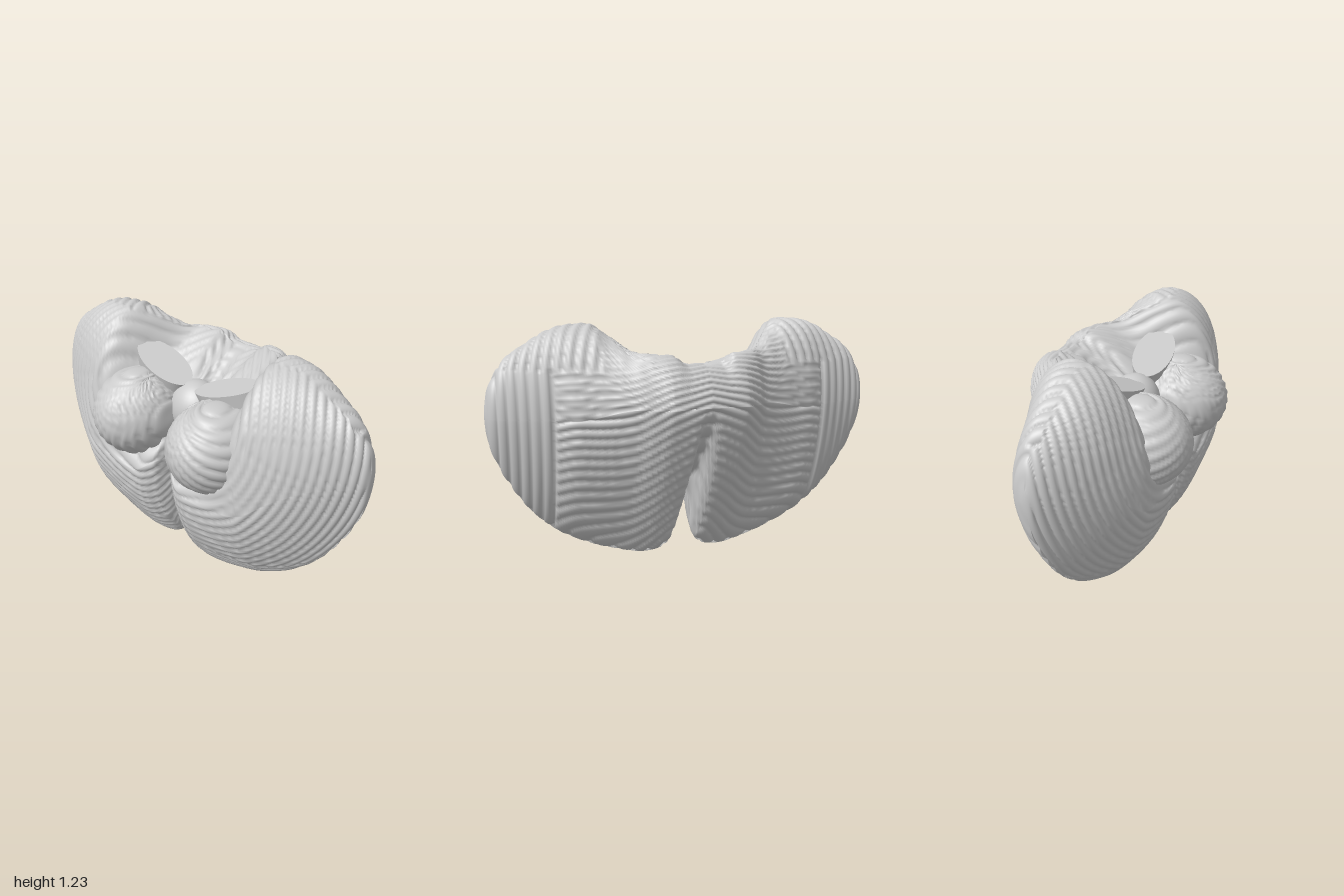
import * as THREE from 'three';

// Smooth curve through [x, value] pairs; keys are spread by asin(x) so the tips round off
function curve(...pairs) {
  const s = pairs.map(p => Math.asin(p[0])), v = pairs.map(p => p[1]), n = s.length;
  const sec = i => (v[i + 1] - v[i]) / (s[i + 1] - s[i]);
  const m = v.map((_, i) => {
    if (i === 0) return 0;
    if (i === n - 1) return sec(n - 2);
    const a = sec(i - 1), b = sec(i);
    return a * b <= 0 ? 0 : 2 * a * b / (a + b);
  });
  return x => {
    const q = Math.asin(Math.min(1, x));
    let i = 0;
    while (i < n - 2 && q > s[i + 1]) i++;
    const h = s[i + 1] - s[i], t = (q - s[i]) / h, t2 = t * t, t3 = t2 * t;
    return v[i] * (2 * t3 - 3 * t2 + 1) + m[i] * h * (t3 - 2 * t2 + t)
      + v[i + 1] * (3 * t2 - 2 * t3) + m[i + 1] * h * (t3 - t2);
  };
}

// Bottom, front, top and back extremes of the side section at each x
const yBottom = curve([0, .36], [.02, .34], [.045, .14], [.07, .05], [.12, .01], [.2, 0], [.4, .045], [.6, .13], [.7, .2],
  [.8, .3], [.9, .45], [.95, .55], [.99, .68], [1, .8]);
const zBottom = curve([0, .06], [.5, .06], [.85, .03], [1, 0]);
const yFront = curve([0, .6], [.2, .5], [.5, .55], [.7, .7], [.85, .78], [1, .8]);
const zFront = curve([0, .15], [.02, .17], [.06, .3], [.15, .34], [.5, .34], [.6, .31], [.7, .27], [.85, .18], [.95, .09], [1, 0]);
const yTop = curve([0, 1.06], [.08, 1.06], [.15, 1.1], [.3, 1.11], [.4, 1.175], [.5, 1.235], [.6, 1.23], [.7, 1.2],
  [.8, 1.14], [.88, 1.09], [.95, 1], [.99, .9], [1, .8]);
const zTop = curve([0, -.3], [.25, -.25], [.35, -.12], [.45, -.02], [.7, -.01], [1, 0]);
const yBack = curve([0, .87], [.3, .86], [.6, .8], [1, .8]);
const zBack = curve([0, -.45], [.17, -.445], [.25, -.4], [.32, -.34], [.5, -.26], [.6, -.23], [.7, -.18], [.85, -.13], [.95, -.09], [1, 0]);

const COUNTS = [52, 50, 42, 76];
const mix = THREE.MathUtils.lerp, step = THREE.MathUtils.smoothstep;

// One closed section: four power arcs bottom > front > top > back > bottom
function section(x) {
  const c = [[zBottom(x), yBottom(x)], [zFront(x), yFront(x)], [zTop(x), yTop(x)], [zBack(x), yBack(x)]];
  const power = [1.2, mix(1.5, .92, step(x, .25, .5)), 1, mix(1.7, 1.2, step(x, .2, .8))];
  const out = [];
  COUNTS.forEach((n, q) => {
    const a = c[q], b = c[(q + 1) % 4];
    for (let k = 0; k < n; k++) {
      const t = k / n * Math.PI / 2;
      const rise = Math.sin(t) ** power[q], fall = 1 - Math.cos(t) ** power[q];
      // z leads when leaving the bottom or top, y leads when leaving the front or back
      const [fz, fy] = q % 2 ? [fall, rise] : [rise, fall];
      out.push([mix(a[0], b[0], fz), mix(a[1], b[1], fy)]);
    }
  });
  return out;
}

// Rounded ridges with narrow creases: 0 on the crest, 1 in the crease
const crease = f => 1 - Math.sqrt(Math.abs(Math.sin(Math.PI * f)));

function foldDepth(x, y, z, back) {
  const ax = Math.abs(x);
  const edge = Math.exp(-(((ax - .7) / .012) ** 2));
  if (ax > .46 && y > 1.03 && z < .04) return .02 * crease((ax + .5 * z) / .062);
  if (back) {
    if (ax > .7) return .016 * crease((ax - .7) / .05);
    const sag = .16 * Math.exp(-((ax / .17) ** 2)) * (1 - y) - .05 * Math.sin(ax * 6) * y;
    return Math.max(.018 * crease((y + .8 * z - sag) / .043), .022 * edge);
  }
  if (ax < .035) return .012 * crease(y / .035);
  const rim = .2 + .55 * Math.max(0, ax - .55) ** 1.3;
  if (y < rim) return .014 * crease((rim - y) / .036);
  const r = Math.hypot(ax - .12, Math.min(y - 1, 0));
  return .016 * crease((r - .7 * z) / .052);
}

// Push each vertex inwards along its normal, then renew the normals
function carve(geo, depth) {
  geo.computeVertexNormals();
  const p = geo.attributes.position, n = geo.attributes.normal;
  for (let i = 0; i < p.count; i++) {
    const x = p.getX(i), y = p.getY(i), z = p.getZ(i), d = depth(x, y, z, i);
    p.setXYZ(i, x - n.getX(i) * d, y - n.getY(i) * d, z - n.getZ(i) * d);
  }
  geo.computeVertexNormals();
  return geo;
}

function hemispheresGeometry() {
  const rows = 120, ring = COUNTS.reduce((a, b) => a + b), pos = [], idx = [];
  for (let i = -rows; i <= rows; i++) {
    const ax = Math.sin((Math.abs(i) / rows) ** 1.25 * Math.PI / 2);
    section(ax).forEach(([z, y]) => pos.push(Math.sign(i) * ax, y, z));
  }
  for (let i = 0; i < rows * 2; i++) for (let j = 0; j < ring; j++) {
    const k = (j + 1) % ring, a = i * ring + j, b = i * ring + k;
    idx.push(a, a + ring, b, b, a + ring, b + ring);
  }
  const geo = new THREE.BufferGeometry();
  geo.setAttribute('position', new THREE.Float32BufferAttribute(pos, 3));
  geo.setIndex(idx);
  const backStart = COUNTS[0] + COUNTS[1];
  return carve(geo, (x, y, z, i) =>
    foldDepth(x, y, z, i % ring >= backStart) * (1 - step(Math.abs(x), .985, 1)));
}

// Front lobule with ridges fanning out from its upper inner corner
function lobuleGeometry(side) {
  const geo = new THREE.SphereGeometry(1, 80, 56);
  geo.scale(.225, .225, .255).rotateZ(side * .35).translate(side * .265, .77, .195);
  return carve(geo, (x, y) => {
    const dx = side * x - .09, dy = 1 - y;
    return .016 * crease(Math.atan2(dy, dx) * 7.5 + 1.5 * Math.hypot(dx, dy));
  });
}

export function createModel() {
  const group = new THREE.Group();
  const mat = new THREE.MeshStandardMaterial({ color: 0xcccccc });
  const add = (name, geo) => {
    const mesh = new THREE.Mesh(geo, mat);
    mesh.name = name;
    group.add(mesh);
    return mesh;
  };

  add('foldedHemispheres', hemispheresGeometry());

  for (const side of [1, -1]) {
    const label = side > 0 ? 'left' : 'right';
    add(label + 'FrontLobule', lobuleGeometry(side));
    // Smooth stalk with a flat oval cut on top
    const stalk = add(label + 'Stalk', new THREE.CylinderGeometry(1, .8, 1, 40));
    stalk.scale.set(.19, .26, .1);
    stalk.position.set(side * .25, .89, .045);
    stalk.rotation.set(.12, side * .12, side * .3);
  }

  // Smooth middle bridge and the small nodule below it
  const bridge = add('middleBridge', new THREE.SphereGeometry(1, 32, 24));
  bridge.scale.set(.14, .15, .13);
  bridge.position.set(0, .82, .05);
  const nodule = add('middleNodule', new THREE.SphereGeometry(1, 24, 16));
  nodule.scale.set(.045, .07, .06);
  nodule.position.set(0, .7, .15);

  return group;
}
